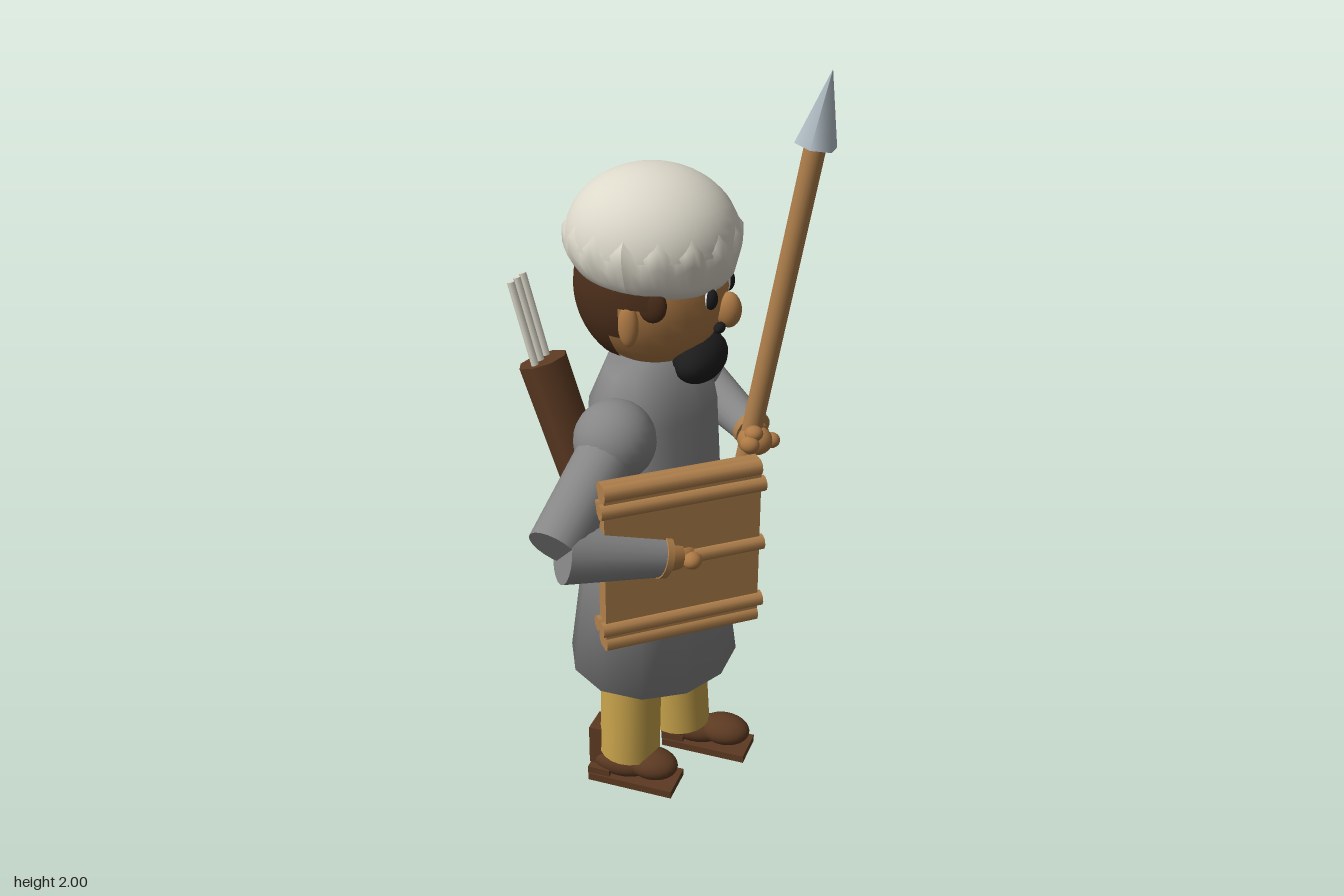
import * as THREE from 'three';
import { mergeVertices } from 'three/addons/utils/BufferGeometryUtils.js';

const mat = (name, color, side = THREE.FrontSide) => {
  const m = new THREE.MeshStandardMaterial({ color, side });
  m.name = name;
  return m;
};

export function createModel() {
  const skin = mat('skin', 0xae7a45), hair = mat('hair', 0x4b2e1a, THREE.DoubleSide);
  const cloth = mat('pale cloth', 0xdcd8ca), grey = mat('grey wool', 0x868686);
  const yellow = mat('yellow cloth', 0xcaa54c), leather = mat('leather', 0x5c3a22, THREE.DoubleSide);
  const wood = mat('wood', 0xb0804c), steel = mat('steel', 0xb4c0c8);
  const black = mat('black', 0x1c1c1c), white = mat('white', 0xf0f0f0);

  const model = new THREE.Group();
  model.name = 'guard';
  const V = (x, y, z) => new THREE.Vector3(x, y, z);
  const add = (name, geo, m, x = 0, y = 0, z = 0, parent = model) => {
    const mesh = new THREE.Mesh(geo, m);
    mesh.name = name;
    mesh.position.set(x, y, z);
    parent.add(mesh);
    return mesh;
  };
  const ball = (name, m, x, y, z, rx, ry = rx, rz = rx) =>
    add(name, new THREE.SphereGeometry(1, 24, 16).scale(rx, ry, rz), m, x, y, z);
  const box = (name, m, w, h, d, x, y, z, parent) =>
    add(name, new THREE.BoxGeometry(w, h, d), m, x, y, z, parent);
  // Tapered rod from a to b
  const rod = (name, m, a, b, ra, rb, sides = 20) => {
    const mesh = add(name, new THREE.CylinderGeometry(rb, ra, a.distanceTo(b), sides), m);
    mesh.position.lerpVectors(a, b, 0.5);
    mesh.quaternion.setFromUnitVectors(V(0, 1, 0), b.clone().sub(a).normalize());
    return mesh;
  };
  const cx = -0.02;

  // Tunic: twelve-sided tube, softly shaded over the hem and collar
  const rows = [[1.34, 0.1, 0.2], [1.21, 0.155, 0.213], [0.75, 0.18, 0.228], [0.44, 0.22, 0.252]];
  const tube = new THREE.CylinderGeometry(1, 1, 3, 12, 3, false, Math.PI / 12);
  const tp = tube.attributes.position;
  for (let i = 0; i < tp.count; i++) {
    const [y, a, b] = rows[Math.round(1.5 - tp.getY(i))];
    tp.setXYZ(i, cx + tp.getX(i) * a / 0.966, y, tp.getZ(i) * b / 0.966);
  }
  tube.deleteAttribute('uv');
  tube.deleteAttribute('normal');
  const tunicGeo = mergeVertices(tube, 1e-4);
  tunicGeo.computeVertexNormals();
  add('tunic', tunicGeo, grey);

  // Belt strips wrapped over the front and back, and the buckle
  for (const [name, mid] of [['beltFront', Math.PI / 2], ['beltBack', -Math.PI / 2]]) {
    const strip = new THREE.CylinderGeometry(0.98, 1.02, 0.065, 12, 1, true, mid - 0.56, 1.12);
    add(name, strip.scale(0.194, 1, 0.243), leather, cx, 0.727, 0);
  }
  box('buckle', wood, 0.03, 0.045, 0.065, 0.162, 0.757, 0);

  // Legs and shoes, one foot ahead of the other
  for (const [s, top, ankle, foot] of [[1, -0.05, -0.06, -0.035], [-1, 0.01, 0.03, 0.11]]) {
    const z = s * 0.09, zf = s * 0.11;
    rod('trouserLeg', yellow, V(ankle, 0.14, z), V(top, 0.5, z), 0.085, 0.083);
    box('sole', leather, 0.25, 0.022, 0.11, foot, 0.062, zf);
    ball('toe', leather, foot + 0.05, 0.117, zf, 0.075, 0.043, 0.055);
    ball('instep', leather, foot - 0.04, 0.105, zf, 0.09, 0.045, 0.05);
    box('heel', leather, 0.06, 0.12, 0.08, foot - 0.1, 0.155, zf * 0.9);
    box('heelPad', leather, 0.065, 0.022, 0.1, foot - 0.095, 0.082, zf);
  }

  // Arms, mirrored; the hands close around the spear and the shield
  for (const s of [1, -1]) {
    const P = (x, y, z) => V(x, y, z * s);
    ball('shoulder', grey, -0.02, 1.21, s * 0.27, 0.102);
    rod('upperArm', grey, P(-0.02, 1.21, 0.27), P(-0.07, 1.045, 0.54), 0.075, 0.066);
    rod('forearm', grey, P(-0.055, 1.025, 0.525), P(0.135, 0.975, 0.376), 0.073, 0.052);
    rod('cuff', wood, P(0.132, 0.977, 0.379), P(0.145, 0.972, 0.368), 0.056, 0.055);
    rod('wrist', skin, P(0.13, 0.975, 0.38), P(0.165, 0.967, 0.34), 0.042, 0.038);
    ball('hand', skin, 0.165, 0.965, s * 0.32, 0.05, 0.042, 0.045);
    ball('thumb', skin, 0.17, 1.0, s * 0.29, 0.026, 0.022, 0.026);
    ball('fingers', skin, 0.165, 0.975, s * 0.268, 0.028, 0.025, 0.022);
    ball('knuckle', skin, 0.205, 0.96, s * 0.345, 0.025, 0.022, 0.025);
  }

  // Head
  ball('head', skin, cx, 1.52, 0, 0.19, 0.205, 0.172);
  // Hair: back half of a shell, reaching further forward above the ears
  const shell = (name, half, t0, t1) => {
    const g = new THREE.SphereGeometry(1, 28, 14, -half, half * 2, t0, t1 - t0);
    add(name, g.scale(0.2, 0.212, 0.182), hair, cx, 1.52, 0);
  };
  shell('hairTop', 2.0, 1.2, 1.6);
  shell('hairMiddle', 1.45, 1.58, 2.0);
  shell('hairBack', 1.25, 1.98, 2.4);
  for (const s of [1, -1]) {
    ball('ear', skin, -0.02, 1.47, s * 0.172, 0.026, 0.055, 0.018);
    ball('sideburn', hair, 0.035, 1.525, s * 0.158, 0.038, 0.045, 0.018);
    ball('eye', white, 0.147, 1.525, s * 0.06, 0.018, 0.031, 0.026);
    ball('pupil', black, 0.154, 1.524, s * 0.069, 0.017, 0.027, 0.018);
    ball('eyebrow', hair, 0.163, 1.572, s * 0.058, 0.012, 0.01, 0.014);
    ball('moustache', black, 0.166, 1.438, s * 0.033, 0.014, 0.013, 0.023);
  }
  ball('nose', skin, 0.178, 1.475, 0, 0.033, 0.046, 0.028);
  ball('beard', black, 0.107, 1.34, 0, 0.064, 0.06, 0.11);

  // Cap: smooth dome over a scalloped rim
  const dome = new THREE.SphereGeometry(1, 36, 14, 0, Math.PI * 2, 0, Math.PI / 2);
  add('capDome', dome.scale(0.218, 0.18, 0.208), cloth, cx, 1.64, 0);
  const profile = [[0.14, 1.55], [0.183, 1.548], [0.203, 1.575], [0.219, 1.62], [0.219, 1.66], [0.2, 1.685]];
  const rim = new THREE.LatheGeometry(profile.map(([r, y]) => new THREE.Vector2(r, y)), 64);
  const rp = rim.attributes.position;
  for (let i = 0; i < rp.count; i++) {
    const x = rp.getX(i), y = rp.getY(i), z = rp.getZ(i);
    const wave = Math.cos(16 * Math.atan2(z, x)), k = y > 1.6 ? 1 + 0.018 * wave : 1;
    rp.setXYZ(i, x * k, y + (y > 1.6 ? 0.012 * wave : -0.07 * x), z * k * 0.955);
  }
  rim.computeVertexNormals();
  add('capRim', rim, cloth, cx, 0, 0);

  // Spear
  const butt = V(-0.02, 0.004, -0.327), neck = V(0.296, 1.81, -0.327);
  rod('spearShaft', wood, butt, neck, 0.029, 0.029, 16);
  rod('spearHead', steel, neck, V(0.33, 2.0, -0.327), 0.057, 0.0005, 6);

  // Shield: plank board with edge rails and longer cross bars
  const shield = new THREE.Group();
  shield.name = 'shield';
  shield.position.set(0.17, 0.965, 0.332);
  shield.rotation.y = 0.71;
  model.add(shield);
  box('shieldBoard', wood, 0.4, 0.43, 0.046, 0, 0, 0, shield);
  const bar = (name, len, r, y, z) =>
    add(name, new THREE.CylinderGeometry(r, r, len, 10).rotateZ(Math.PI / 2), wood, 0, y, z, shield);
  for (const y of [-0.206, 0.206]) for (const z of [-0.01, 0.01]) bar('edgeRail', 0.4, 0.022, y, z);
  for (const y of [-0.163, 0, 0.163]) {
    bar('crossBarFront', 0.42, 0.02, y, 0.018);
    bar('crossBarBack', 0.42, 0.02, y, -0.016);
  }

  // Quiver and arrows on the back
  rod('quiver', leather, V(-0.14, 0.89, 0.1), V(-0.282, 1.315, 0.1), 0.06, 0.065, 8);
  for (const dz of [-0.035, 0, 0.035])
    rod('arrow', cloth, V(-0.27, 1.25, 0.1 + dz), V(-0.344, 1.528, 0.1 + dz), 0.01, 0.01, 8);

  return model;
}
